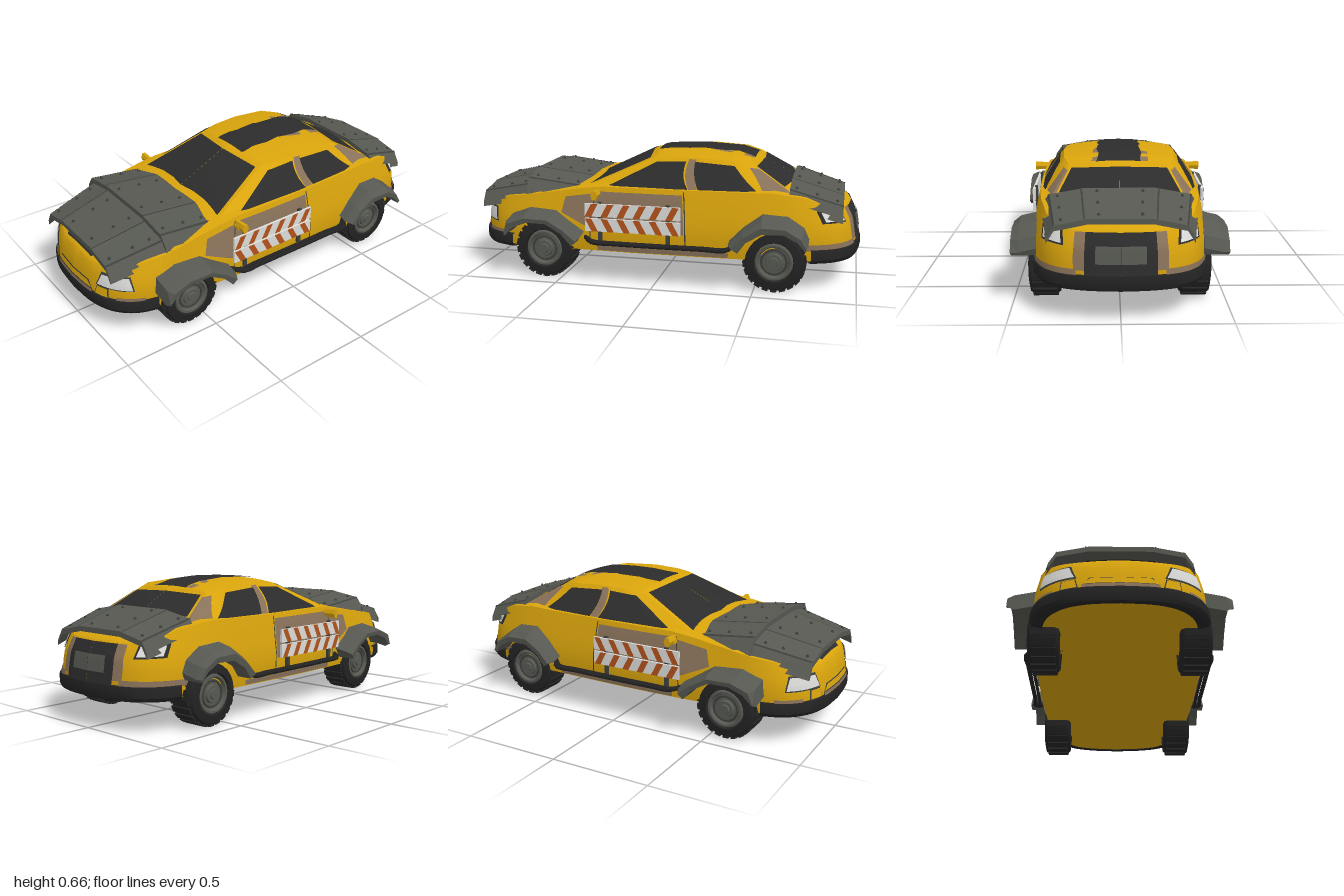
import * as THREE from 'three';
import { toCreasedNormals } from 'three/addons/utils/BufferGeometryUtils.js';

const paint = (name, color) => new THREE.MeshStandardMaterial({ name, color, side: THREE.DoubleSide });
const lerp = THREE.MathUtils.lerp;

// Piecewise linear lookup in a table of [key, value...] rows with rising keys
function look(table, k, col = 1) {
  let i = 0;
  while (i < table.length - 2 && k > table[i + 1][0]) i++;
  const a = table[i], b = table[i + 1];
  return lerp(a[col], b[col], THREE.MathUtils.clamp((k - a[0]) / (b[0] - a[0]), 0, 1));
}

// Surface through rows of points, optionally lifted along its normals
function grid(rows, crease = 0.5, lift = 0) {
  const n = rows[0].length, index = [];
  for (let i = 0; i < rows.length - 1; i++) for (let j = 0; j < n - 1; j++) {
    const a = i * n + j, d = a + n;
    index.push(a, a + 1, d + 1, a, d + 1, d);
  }
  const g = new THREE.BufferGeometry();
  g.setAttribute('position', new THREE.Float32BufferAttribute(rows.flat(2), 3));
  g.setIndex(index);
  g.computeVertexNormals();
  if (lift) {
    const p = g.attributes.position, m = g.attributes.normal;
    for (let i = 0; i < p.count; i++)
      p.setXYZ(i, p.getX(i) + m.getX(i) * lift, p.getY(i) + m.getY(i) * lift, p.getZ(i) + m.getZ(i) * lift);
  }
  return toCreasedNormals(g, crease);
}

function mirrored(geo) {
  const g = geo.index ? geo.toNonIndexed() : geo.clone();
  for (const key of ['position', 'normal']) {
    const a = g.attributes[key].array;
    for (let i = 0; i < a.length; i += 3) a[i] *= -1;
    for (let i = 0; i < a.length; i += 9) for (let c = 3; c < 6; c++) [a[i + c], a[i + c + 3]] = [a[i + c + 3], a[i + c]];
  }
  return g;
}

// Plan outline of the body from front centre round the +x side to rear centre
const plan = new THREE.CatmullRomCurve3([[0, 1], [.17, .985], [.29, .94], [.37, .86], [.41, .74], [.42, .55], [.435, .3],
  [.44, 0], [.435, -.3], [.425, -.55], [.4, -.74], [.35, -.87], [.27, -.945], [.15, -.985], [0, -1]]
  .map(([x, z]) => new THREE.Vector3(x, 0, z)));
const kx = [[.16, .95], [.22, .97], [.3, .975], [.36, .95], [.44, .92], [.5, .89]];
const kz = [[.16, .985], [.22, 1], [.34, .98], [.4, .95], [.44, .93], [.5, .9]];
const deck = [[-1, .4], [-.92, .42], [-.8, .47], [-.65, .49], [.3, .49], [.4, .48], [.85, .41], [.95, .385], [1, .36]];
const wall = (t, y) => {
  const p = plan.getPoint(t / 14);
  return [Math.max(0, p.x) * look(kx, y), y, p.z * look(kz, y)];
};
const deckEdge = (t) => wall(t, look(deck, plan.getPoint(t / 14).z));
const crowned = ([x, y, z], f, crown) => [x * f, y + crown * x * (1 - f * f), z];

// Cabin: lower ring [x, z] and upper ring [x, y, z]
const low = [[0, .43], [.35, .39], [.385, .25], [.392, -.1], [.38, -.45], [.33, -.68], [0, -.74]].map((p, i) => [i, ...p]);
const high = [[0, .643, .07], [.25, .627, .03], [.27, .632, -.05], [.28, .635, -.2], [.27, .625, -.38], [.24, .605, -.46], [0, .61, -.485]]
  .map((p, i) => [i, ...p]);
const cabin = (t, v) => [lerp(look(low, t), look(high, t), v), lerp(.47, look(high, t, 2), v), lerp(look(low, t, 2), look(high, t, 3), v)];

// Four-cornered patch on a surface fn(t, v)
function patch(fn, a, b, c, d, lift = .005, n = 10) {
  const rows = [];
  for (let i = 0; i <= n; i++) rows.push(Array.from({ length: n + 1 }, (_, j) => {
    const u = j / n, v = i / n;
    return fn(lerp(lerp(a[0], b[0], u), lerp(d[0], c[0], u), v), lerp(lerp(a[1], b[1], u), lerp(d[1], c[1], u), v));
  }));
  return grid(rows, .5, lift);
}
const rect = (t0, t1, y0, y1) => [[t0, y0], [t1, y0], [t1, y1], [t0, y1]];

export function createModel() {
  const car = new THREE.Group();
  const yellow = paint('yellow paint', 0xd9a40c), primer = paint('brown primer', 0x89725a), black = paint('dark glass', 0x2c2c2c),
    rubber = paint('black rubber', 0x232323), steel = paint('grey steel', 0x565851), bolt = paint('dark steel', 0x3d3f3b),
    white = paint('lamp white', 0xdcdcda), orange = paint('barrier orange', 0xb2521a);

  const add = (name, geo, mat, both = false) => {
    (both ? [geo, mirrored(geo)] : [geo]).forEach((g) => {
      const m = new THREE.Mesh(g, mat);
      m.name = name;
      car.add(m);
    });
  };
  const decal = (name, fn, mat, corners, lift) => add(name, patch(fn, ...corners, lift), mat, true);
  const box = (w, h, d, x, y, z) => new THREE.BoxGeometry(w, h, d).translate(x, y, z);

  // Body shell: floor, walls, crowned deck
  const ts = Array.from({ length: 57 }, (_, i) => i / 4);
  const rows = [ts.map((t) => { const p = wall(t, .16); return [0, p[1], p[2]]; })];
  for (const v of [0, .18, .35, .5, .65, .82, 1]) rows.push(ts.map((t) => wall(t, lerp(.16, deckEdge(t)[1], v))));
  for (const f of [.93, .75, .5, .25, 0]) rows.push(ts.map((t) => crowned(deckEdge(t), f, .08)));
  add('bodyShell', grid(rows), yellow, true);

  // Cabin shell and roof
  const cs = Array.from({ length: 25 }, (_, i) => i / 4);
  const cabinRows = [0, .5, 1].map((v) => cs.map((t) => cabin(t, v)));
  for (const f of [.9, .7, .45, .2, 0]) cabinRows.push(cs.map((t) => crowned(cabin(t, 1), f, .08)));
  add('cabin', grid(cabinRows, .4), yellow, true);

  // Glass and primer pillars
  decal('windshield', cabin, black, [[0, .1], [.95, .1], [.93, .93], [0, .95]]);
  decal('rearWindow', cabin, black, [[5.08, .25], [6, .25], [6, .93], [5.08, .9]]);
  decal('frontSideWindow', cabin, black, [[1.75, .08], [3.17, .08], [2.72, .88], [1.8, .84]]);
  decal('rearSideWindow', cabin, black, [[3.32, .08], [4.3, .1], [3.95, .84], [2.98, .88]]);
  decal('rearPillar', cabin, primer, [[4.4, .08], [5.05, .08], [5.03, .85], [4.6, .85]], .003);
  decal('centrePillar', cabin, primer, [[3.18, .08], [3.31, .08], [2.97, .95], [2.74, .95]], .004);

  // Panels lying on the roof and the nose; edge gives [z, halfWidth, height] rows
  const topPanel = (edge, spans, lift) => grid(spans.map(([z, x0, x1]) => Array.from({ length: 9 }, (_, j) => {
    const x = lerp(x0, x1, j / 8), xe = Math.max(look(edge, z), Math.abs(x), .01);
    return [x, look(edge, z, 2) + .08 * xe * (1 - (x / xe) ** 2) + lift, z];
  })));
  const roofEdge = cs.map((t) => cabin(t, 1)).map(([x, y, z]) => [z, x, y]).reverse();
  const noseEdge = ts.map(deckEdge).map(([x, y, z]) => [z, x, y]).reverse();
  add('roofStripe', topPanel(roofEdge, [.045, .03, -.03, -.08, -.12, -.2, -.21, -.3, -.38, -.44, -.465]
    .map((z, i) => [z, -.1 - (i % 3) * .005, .1 + ((i + 1) % 3) * .006]), .006), black);
  add('roofPrimer', topPanel(roofEdge, [[-.24, .1, .11], [-.3, .09, .13], [-.44, .09, .13], [-.46, .09, .14]], .004), primer);
  add('roofPrimer', topPanel(roofEdge, [[-.32, -.11, -.1], [-.34, -.14, -.1], [-.46, -.14, -.1]], .004), primer);
  add('nosePanel', topPanel(noseEdge, [[.95, -.12, .12], [.92, -.15, .15], [.86, -.19, .19], [.8, -.19, .19]], .006), black);

  // Bumpers, lamps and trim
  for (const [name, t0, t1] of [['frontBumper', 0, 3.9], ['rearBumper', 10.2, 14]]) {
    const lay = (y, o) => Array.from({ length: 25 }, (_, j) => {
      const p = wall(lerp(t0, t1, j / 24), .22);
      return [p[0] * (1 + o), y, p[2] * (1 + o * .25)];
    });
    add(name, grid([lay(.152, -.1), lay(.152, .01), lay(.17, .04), lay(.212, .04), lay(.22, .03), lay(.222, -.1)]), rubber, true);
  }
  decal('headlightFrame', wall, bolt, [[1.2, .273], [2.95, .273], [2.75, .347], [1.45, .347]], .004);
  decal('headlight', wall, white, [[1.28, .28], [2.88, .28], [2.7, .341], [1.5, .338]], .008);
  decal('tailLightFrame', wall, black, [[10.75, .345], [12.1, .34], [12, .405], [10.7, .405]], .004);
  decal('tailLight', wall, white, [[10.9, .352], [12, .347], [11.9, .398], [10.85, .398]], .008);
  decal('grilleFrame', wall, bolt, [[0, .222], [1.06, .222], [.82, .272], [0, .272]], .002);
  decal('grillePanel', wall, yellow, [[0, .24], [1, .24], [.78, .268], [0, .268]], .005);
  decal('grillePrimer', wall, primer, rect(0, 1.03, .218, .236), .007);
  decal('fogLampFrame', wall, bolt, [[1.15, .22], [1.85, .22], [1.8, .272], [1.25, .272]], .002);
  decal('fogLampPanel', wall, yellow, [[1.2, .225], [1.8, .225], [1.75, .268], [1.28, .268]], .005);
  decal('frontPrimer', wall, primer, rect(2.2, 3.4, .216, .236));
  decal('rearPrimer', wall, primer, rect(9.8, 12.6, .216, .245));
  decal('rearPanelPrimer', wall, primer, rect(12.5, 13, .24, .4), .003);
  decal('rearPanel', wall, black, rect(12.9, 14, .222, .4));
  decal('numberPlate', wall, steel, rect(13.25, 14, .27, .345), .009);

  // Primer on the doors and fenders
  decal('fenderPrimer', wall, primer, [[5.2, .35], [5.95, .27], [6, .46], [5.2, .43]], .003);
  decal('doorPrimer', wall, primer, rect(5.9, 7.5, .27, .465), .004);
  decal('sillPrimer', wall, primer, rect(6, 8.3, .165, .19), .004);
  decal('doorSeam', wall, bolt, rect(7.52, 7.54, .19, .48), .005);
  decal('doorSeam', wall, bolt, rect(5.86, 5.88, .19, .47), .005);

  // Barrier boards with slanted stripes on both sides
  for (const [y, lean] of [[.38, -.035], [.304, .035]]) {
    add('barrierBoard', box(.012, .066, .49, .446, y, .105), white, true);
    for (let i = 0; i < 6; i++) {
      const z = .315 - i * .083, h = .033;
      const at = (dz, dy) => [.4545, y + dy, z + dz];
      add('barrierStripe', grid([[at(.017 + lean / 2 * -1, -h), at(-.017 - lean / 2, -h)],
        [at(.017 + lean / 2, h), at(-.017 + lean / 2, h)]]), orange, true);
    }
  }
  for (const z of [.275, -.075]) add('barrierPost', box(.014, .2, .02, .436, .32, z), bolt, true);

  // Side step rails
  for (const [x, r] of [[.468, .012], [.445, .009]]) {
    const path = new THREE.CatmullRomCurve3([[.415, .23, .36], [x, .218, .31], [x, .215, .2], [x, .215, -.25], [x, .217, -.37], [.415, .24, -.41]]
      .map((p) => new THREE.Vector3(...p)));
    add('sideRail', new THREE.TubeGeometry(path, 30, r, 6), rubber, true);
  }

  // Door mirrors
  add('mirrorArm', box(.06, .015, .025, .4, .447, .3), yellow, true);
  const head = new THREE.CylinderGeometry(.026, .02, .075, 6).rotateZ(-Math.PI / 2).scale(1, 1, .7).translate(.432, .457, .295);
  add('mirrorHead', toCreasedNormals(head, .3), yellow, true);

  // Bent armour plates: rear edge and front edge given as [z, y, widthScale]
  const bend = [[0, 0], [.17, 0], [.2, .006], [.34, .03], [.38, .085]];
  function armour(name, a, b, boltRows) {
    const at = (x, z) => {
      const k = (z - a[0]) / (b[0] - a[0]), s = lerp(a[2], b[2], k);
      return [x * s, lerp(a[1], b[1], k) - look(bend, Math.abs(x)), z];
    };
    const xs = [-.38, -.34, -.2, -.17, .17, .2, .34, .38];
    const edge = (z, dy) => xs.map((x) => { const p = at(x, z); return [p[0], p[1] + dy, p[2]]; });
    const hi = Math.max(a[0], b[0]), lo = Math.min(a[0], b[0]);
    add(name, grid([edge(lo, 0), edge(lo, -.025), edge(hi, -.025), edge(hi, 0), edge(lo, 0)].map((r) => r.reverse()), .1), steel);
    const seam = (x) => [lo, hi].map((z) => [-.004, .004].map((d) => { const p = at(x + d, z); return [p[0], p[1] + .003, z]; }));
    for (const x of [-.34, -.185, .185, .34]) add('plateSeam', grid(seam(x)), bolt);
    for (const x of [-.3, -.11, .11, .3]) for (const k of boltRows) {
      const p = at(x, lerp(a[0], b[0], k));
      add('plateBolt', new THREE.CylinderGeometry(.005, .009, .01, 6).translate(p[0], p[1] + .004, p[2]), bolt);
    }
  }
  armour('upperHoodPlate', [.39, .505, .97], [.69, .54, .99], [.15, .5, .88]);
  armour('lowerHoodPlate', [.66, .512, 1], [.96, .447, .84], [.22, .5, .88]);
  armour('trunkPlate', [-.66, .535, .97], [-.92, .455, .86], [.12, .5, .88]);

  // Wheel arch flares: outer and inner edge points [z, y]
  function flare(name, outer, inner, reach) {
    const sections = outer.map(([z, y], i) => {
      const [qz, qy] = inner[i];
      return [[.385, y, z], [reach - .035, y - .02, z], [reach, lerp(y, qy, .6), lerp(z, qz, .4)],
        [reach - .005, qy, qz], [.385, qy, qz], [.385, y, z]];
    });
    const flat = (s) => s.map((p) => [(reach + .385) / 2, (s[0][1] + s[3][1]) / 2, (s[0][2] + s[3][2]) / 2]);
    add(name, grid([flat(sections[0]), ...sections, flat(sections.at(-1))].reverse(), .1), steel, true);
  }
  flare('frontFlare', [[.77, .25], [.76, .33], [.66, .368], [.52, .36], [.44, .31], [.367, .265]],
    [[.757, .245], [.715, .285], [.64, .312], [.54, .31], [.46, .265], [.405, .205]], .52);
  flare('rearFlare', [[-.38, .265], [-.45, .335], [-.54, .395], [-.66, .383], [-.74, .33], [-.765, .275]],
    [[-.43, .215], [-.47, .27], [-.545, .315], [-.65, .318], [-.715, .285], [-.752, .24]], .505);

  // Wheels: tyre with tread blocks, dished rim and hub
  const lathe = (pts, n) => toCreasedNormals(new THREE.LatheGeometry(pts.map((p) => new THREE.Vector2(...p)), n).rotateZ(-Math.PI / 2), .5);
  for (const z of [.585, -.6]) {
    const place = (g) => g.translate(.35, .157, z);
    add('tyre', place(lathe([[.09, -.075], [.135, -.07], [.149, -.05], [.149, .05], [.138, .07], [.1, .078], [.094, .06]], 24)), rubber, true);
    add('rim', place(lathe([[.096, .06], [.09, .074], [.08, .074], [.072, .058], [.045, .058], [.04, .07], [.025, .07], [.022, .078], [0, .078]], 20)), steel, true);
    add('rimRing', place(lathe([[.068, .06], [.066, .065], [.058, .065], [.056, .06]], 20)), bolt, true);
    for (let i = 0; i < 22; i++) {
      const block = new THREE.BoxGeometry(.115, .014, .03).translate(0, .149, 0).rotateX(i / 22 * Math.PI * 2);
      add('treadBlock', place(block), rubber, true);
    }
  }
  return car;
}
